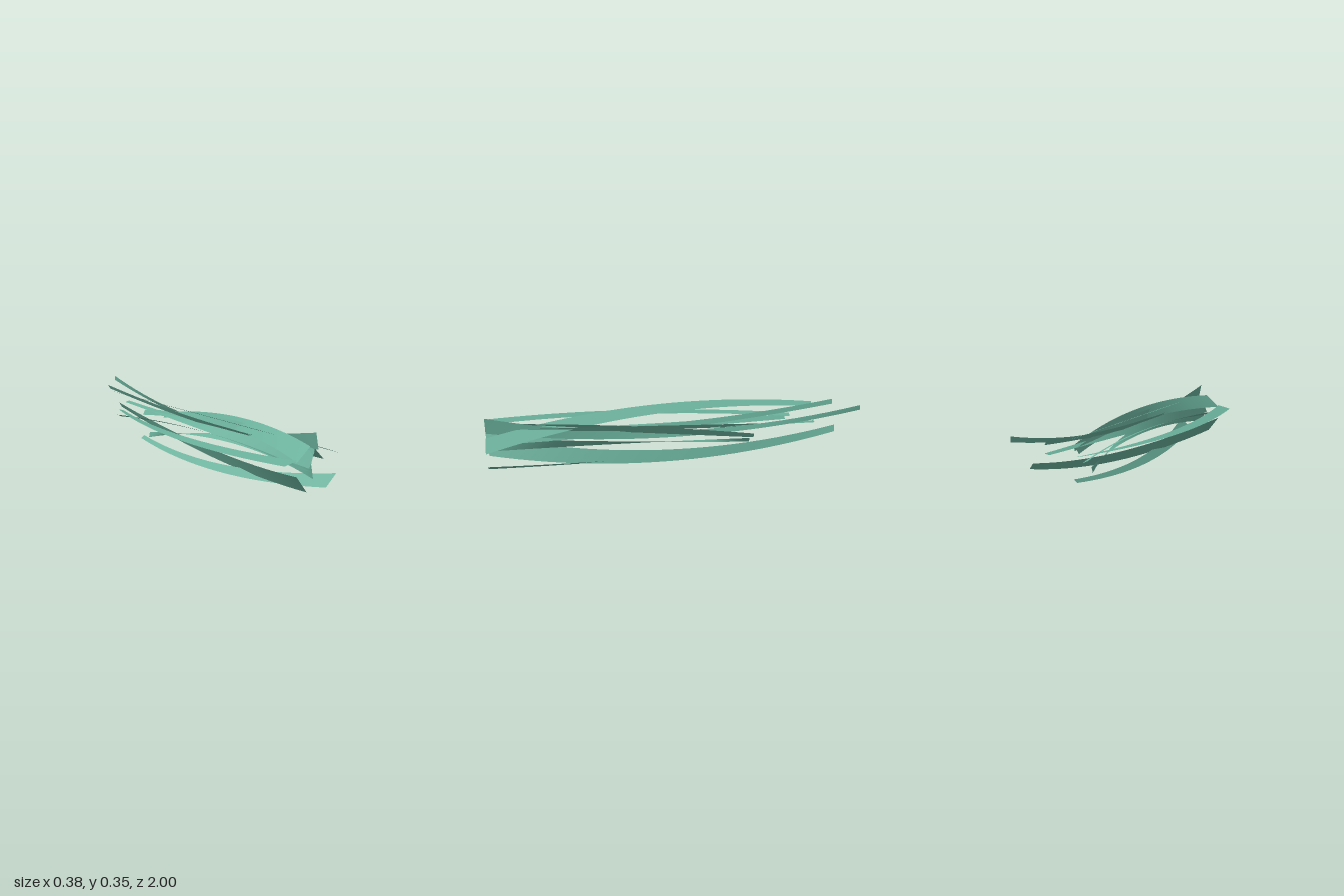
import * as THREE from 'three';

const material = new THREE.MeshStandardMaterial({ color: 0x6ab09b, side: THREE.DoubleSide });
const SEGMENTS = 24;

// Parabola through three values at t = 0, 0.5 and 1
const through = (a, m, b, t) =>
  a * (1 - t) * (1 - 2 * t) + m * 4 * t * (1 - t) + b * t * (2 * t - 1);

// Tapering ribbon from z = 1 to zEnd; each edge is [x, y] at root, middle and tip
function blade(zEnd, edgeA, edgeB) {
  const positions = [], index = [];
  for (let i = 0; i <= SEGMENTS; i++) {
    const t = i / SEGMENTS;
    for (const [p, q, r] of [edgeA, edgeB]) {
      positions.push(through(p[0], q[0], r[0], t), through(p[1], q[1], r[1], t), 1 + (zEnd - 1) * t);
    }
    if (i < SEGMENTS) {
      const k = i * 2;
      index.push(k, k + 1, k + 2, k + 1, k + 3, k + 2);
    }
  }
  const geometry = new THREE.BufferGeometry();
  geometry.setAttribute('position', new THREE.Float32BufferAttribute(positions, 3));
  geometry.setIndex(index);
  geometry.computeVertexNormals();
  return new THREE.Mesh(geometry, material);
}

const blades = {
  outerRightBlade: [-0.66, [[-0.165, 0.213], [-0.181, 0.192], [-0.025, 0.205]], [[-0.09, 0.23], [-0.128, 0.2], [0.003, 0.2]]],
  lowerSweepingBlade: [-0.88, [[-0.09, 0.15], [0.085, 0.098], [0.115, 0.2]], [[-0.025, 0.067], [0.115, 0.04], [0.135, 0.17]]],
  archedBlade: [-0.43, [[-0.008, 0.288], [0.117, 0.3], [0.148, 0.205]], [[-0.09, 0.22], [0.084, 0.238], [0.14, 0.175]]],
  innerArchedBlade: [-0.53, [[0.02, 0.27], [0.1, 0.28], [0.075, 0.213]], [[0.0, 0.2], [0.083, 0.238], [0.06, 0.185]]],
  longRisingBlade: [-1, [[0.028, 0.35], [0.106, 0.235], [0.16, 0.348]], [[0.045, 0.265], [0.122, 0.205], [0.163, 0.32]]],
  hookedBlade: [-0.43, [[0.0, 0.2], [0.115, 0.197], [0.035, 0.07]], [[0.015, 0.125], [0.085, 0.16], [0.042, 0.1]]],
  topFlatBlade: [-0.77, [[0.185, 0.23], [0.02, 0.291], [0.04, 0.283]], [[0.09, 0.265], [-0.041, 0.313], [0.01, 0.294]]],
  bottomBlade: [-0.55, [[0.165, 0.132], [0.065, 0.035], [0.08, 0.056]], [[0.1, 0.07], [0.028, 0.003], [0.06, 0.04]]],
  middleFlatBlade: [-0.64, [[-0.085, 0.193], [-0.01, 0.213], [-0.05, 0.18]], [[0.0, 0.163], [0.035, 0.197], [-0.02, 0.167]]],
  innerBlade: [-0.77, [[-0.012, 0.18], [0.04, 0.2], [0.09, 0.222]], [[0.02, 0.26], [0.07, 0.23], [0.118, 0.228]]],
  centreBlade: [-0.88, [[0.025, 0.27], [0.055, 0.25], [0.037, 0.318]], [[0.08, 0.215], [0.075, 0.222], [0.05, 0.295]]],
};

export function createModel() {
  const group = new THREE.Group();
  group.name = 'bladeCluster';
  for (const [name, spec] of Object.entries(blades)) {
    const mesh = blade(...spec);
    mesh.name = name;
    group.add(mesh);
  }
  return group;
}
